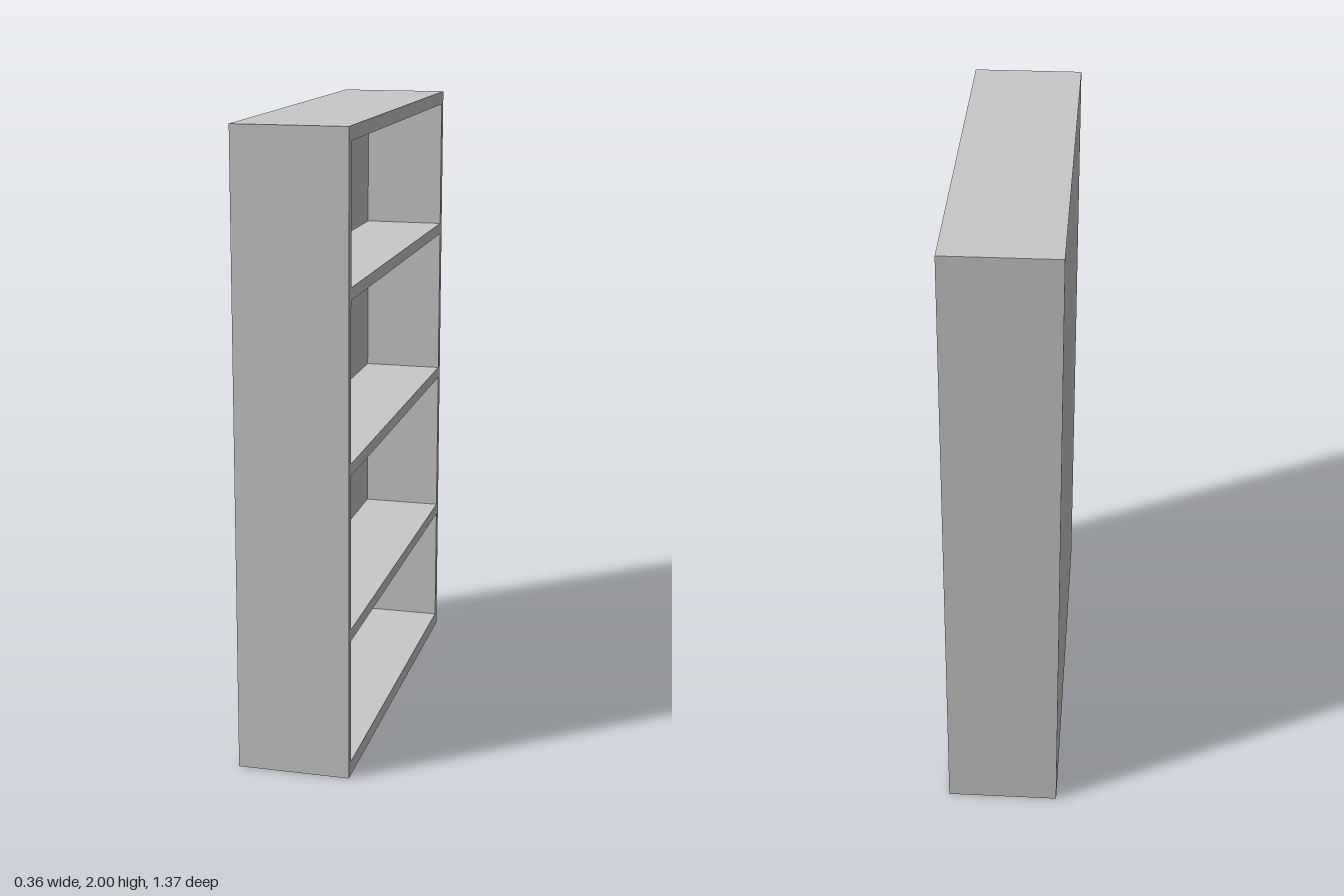
import * as THREE from 'three';

// Open bookcase: the shelves face +x, the solid back panel is on -x.
export function createModel() {
  const group = new THREE.Group();
  group.name = 'bookcase';
  const paint = new THREE.MeshStandardMaterial({ color: 0xc8c8c8 });
  paint.name = 'light grey';

  const halfX = 0.1775, halfZ = 0.685, innerZ = 0.657;
  const backX = -0.088; // inner face of the back panel
  const floorY = 0.045, ceilingY = 1.957, height = 2;

  // Box given by its lower and upper limits on each axis
  function board(name, [x0, x1], [y0, y1], [z0, z1]) {
    const mesh = new THREE.Mesh(new THREE.BoxGeometry(x1 - x0, y1 - y0, z1 - z0), paint);
    mesh.position.set((x0 + x1) / 2, (y0 + y1) / 2, (z0 + z1) / 2);
    mesh.name = name;
    group.add(mesh);
  }

  // Carcass: one outline with a rectangular opening, as deep as the shelves
  const outline = new THREE.Shape([
    new THREE.Vector2(-halfZ, 0), new THREE.Vector2(halfZ, 0),
    new THREE.Vector2(halfZ, height), new THREE.Vector2(-halfZ, height),
  ]);
  outline.holes.push(new THREE.Path([
    new THREE.Vector2(-innerZ, floorY), new THREE.Vector2(-innerZ, ceilingY),
    new THREE.Vector2(innerZ, ceilingY), new THREE.Vector2(innerZ, floorY),
  ]));
  const frameGeometry = new THREE.ExtrudeGeometry(outline, { depth: halfX - backX, bevelEnabled: false });
  frameGeometry.rotateY(Math.PI / 2);
  frameGeometry.translate(backX, 0, 0);
  const frame = new THREE.Mesh(frameGeometry, paint);
  frame.name = 'frame';
  group.add(frame);

  // Thick back panel
  board('backPanel', [-halfX, backX], [0, height], [-halfZ, halfZ]);

  // Three shelves, flush with the front of the frame
  [0.443, 0.967, 1.497].forEach((y, i) =>
    board(`shelf${i + 1}`, [backX, halfX], [y, y + 0.037], [-innerZ, innerZ]));

  return group;
}
